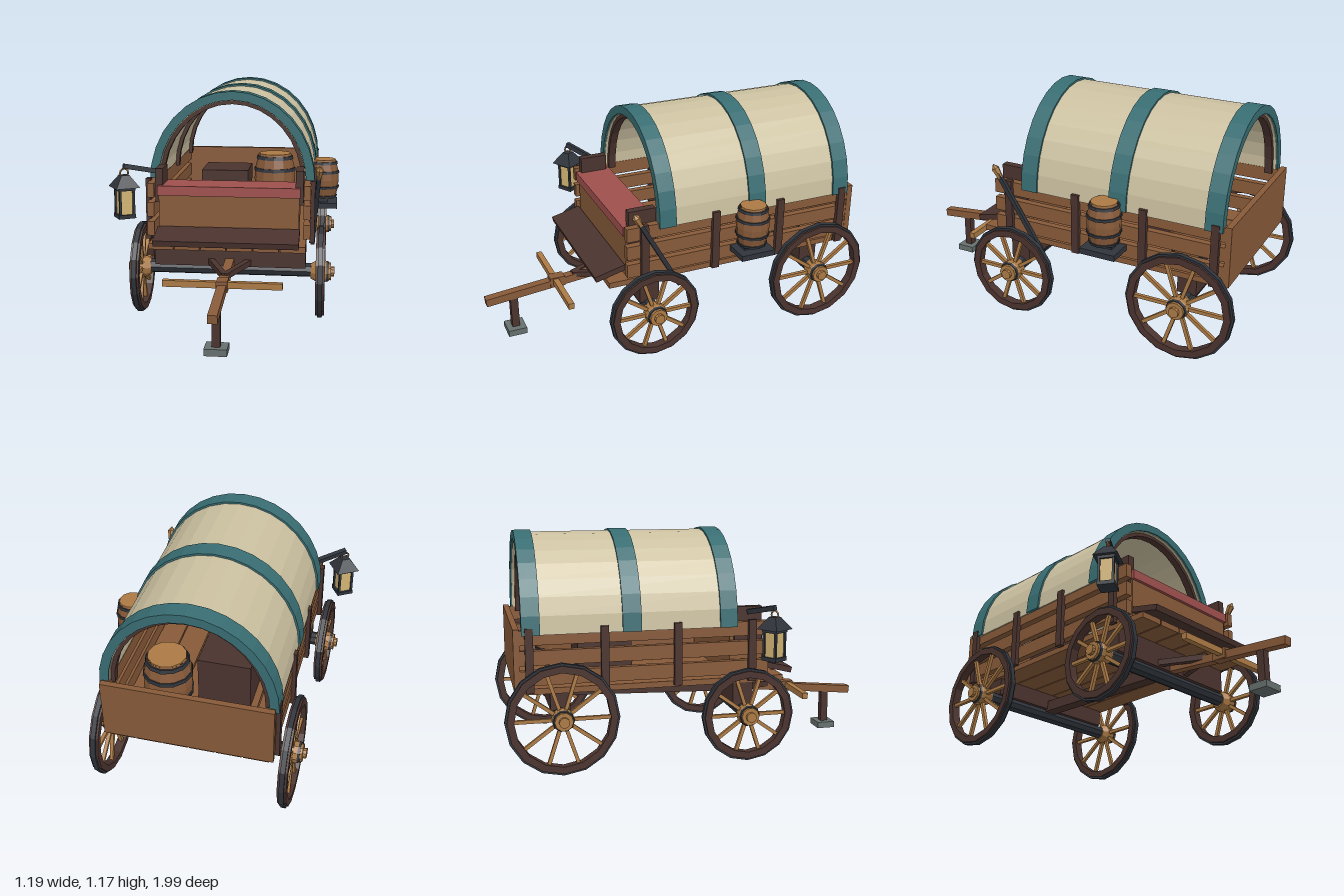
import * as THREE from 'three';

const mat = (name, color) => Object.assign(new THREE.MeshStandardMaterial({ color }), { name });

export function createModel() {
  const M = {
    dark: mat('dark wood', 0x4a332e), wood: mat('brown wood', 0x875a39), tan: mat('pale wood', 0xab7a45),
    red: mat('cushion red', 0x9e504d), teal: mat('trim teal', 0x386d72), cream: mat('canvas', 0xcbc0a0),
    iron: mat('iron', 0x2f343b), stone: mat('stone', 0x66706e), glass: mat('lamp glass', 0xd2b473),
  };
  const root = new THREE.Group();
  root.name = 'coveredWagon';
  const wagon = new THREE.Group();
  wagon.name = 'wagon';
  wagon.position.x = 0.03; // the bed's centre line
  root.add(wagon);

  // Adds a faceted mesh
  const add = (name, geo, m, x = 0, y = 0, z = 0, parent = wagon) => {
    const g = geo.index ? geo.toNonIndexed() : geo;
    g.computeVertexNormals();
    const mesh = new THREE.Mesh(g, m);
    mesh.name = name;
    mesh.position.set(x, y, z);
    parent.add(mesh);
    return mesh;
  };
  // Box given by its extents
  const box = (name, m, x0, x1, y0, y1, z0, z1, parent) =>
    add(name, new THREE.BoxGeometry(x1 - x0, y1 - y0, z1 - z0), m, (x0 + x1) / 2, (y0 + y1) / 2, (z0 + z1) / 2, parent);
  // Square beam from a to b
  const beam = (name, m, a, b, w, h, parent) => {
    const A = new THREE.Vector3(...a), B = new THREE.Vector3(...b);
    const mesh = add(name, new THREE.BoxGeometry(w, h, A.distanceTo(B)), m, 0, 0, 0, parent);
    mesh.position.copy(A).add(B).multiplyScalar(0.5);
    mesh.quaternion.setFromUnitVectors(new THREE.Vector3(0, 0, 1), B.clone().sub(A).normalize());
    return mesh;
  };
  const lathe = (pts, n) => new THREE.LatheGeometry(pts.map(p => new THREE.Vector2(...p)), n);

  // Half-elliptical hoop extruded along z
  const hoop = (name, m, rx, ry, ix, iy, z0, z1) => {
    const pts = [];
    for (let i = 0; i <= 16; i++) pts.push(new THREE.Vector2(rx * Math.cos(i * Math.PI / 16), ry * Math.sin(i * Math.PI / 16)));
    for (let i = 16; i >= 0; i--) pts.push(new THREE.Vector2(ix * Math.cos(i * Math.PI / 16), iy * Math.sin(i * Math.PI / 16)));
    const geo = new THREE.ExtrudeGeometry(new THREE.Shape(pts), { depth: z1 - z0, bevelEnabled: false });
    add(name, geo, m, 0, 0.7, z0);
  };
  hoop('canvasCover', M.cream, 0.425, 0.47, 0.386, 0.431, -0.885, 0.18);
  for (const [a, b] of [[0.1, 0.19], [-0.4, -0.305], [-0.895, -0.805]]) {
    hoop('coverTrim', M.teal, 0.435, 0.48, 0.39, 0.435, a, b);
    hoop('coverRib', M.dark, 0.39, 0.435, 0.365, 0.412, (a + b) / 2 - 0.02, (a + b) / 2 + 0.02);
  }

  // Bed floor, side planks, stakes and tailgate
  for (let i = 0; i < 6; i++) {
    const x = -0.4 + i * 0.1333;
    box('floorPlank', M.wood, x + 0.003, x + 0.13, 0.4, 0.43, -0.92, 0.45);
  }
  for (const s of [-1, 1]) {
    for (const y of [0.45, 0.55, 0.65])
      box('sidePlank', M.wood, s * 0.4 - 0.018, s * 0.4 + 0.018, y, y + 0.073, -0.92, 0.36);
    for (const z of [0.27, -0.12, -0.49, -0.86])
      box('stake', M.dark, s * 0.425 - 0.013, s * 0.425 + 0.013, 0.415, 0.735, z - 0.02, z + 0.02);
    box('seatArm', M.dark, s * 0.36 - 0.02, s * 0.36 + 0.02, 0.62, 0.795, 0.19, 0.335);
  }
  box('tailgate', M.wood, -0.42, 0.42, 0.42, 0.73, -0.935, -0.905);

  // Driver's seat and footboard
  box('seatBox', M.wood, -0.36, 0.36, 0.43, 0.66, 0.17, 0.345);
  box('seatCushion', M.red, -0.365, 0.365, 0.66, 0.71, 0.17, 0.36);
  beam('footboard', M.dark, [0, 0.485, 0.35], [0, 0.445, 0.51], 0.73, 0.03);

  // Running gear
  box('frontBolster', M.dark, -0.395, 0.395, 0.275, 0.4, 0.18, 0.285);
  box('rearBolster', M.dark, -0.38, 0.38, 0.31, 0.4, -0.76, -0.66);
  beam('reachBeam', M.dark, [0, 0.3, 0.22], [0, 0.33, -0.76], 0.07, 0.06);
  for (const [y, z] of [[0.255, 0.235], [0.288, -0.71]])
    add('axle', new THREE.CylinderGeometry(0.037, 0.037, 0.94, 8).rotateZ(Math.PI / 2), M.iron, 0, y, z);

  // Wheels
  const wheel = (name, r, s, y, z) => {
    const g = new THREE.Group();
    g.name = name;
    g.position.set(s * 0.472, y, z);
    g.rotation.z = -s * Math.PI / 2; // the wheel's own +y points outward
    wagon.add(g);
    const ring = (a, b, w) => lathe([[a, -w], [b, -w], [b, w], [a, w], [a, -w]], 16);
    add('rim', ring(r - 0.046, r - 0.011, 0.023), M.dark, 0, 0, 0, g);
    add('tyre', ring(r - 0.014, r, 0.012), M.iron, 0, 0, 0, g);
    for (let i = 0; i < 10; i++) {
      const a = (i + 0.5) * Math.PI / 5, c = Math.cos(a), d = Math.sin(a);
      beam('spoke', M.tan, [c * 0.03, 0, d * 0.03], [c * (r - 0.04), 0, d * (r - 0.04)], 0.018, 0.018, g);
    }
    add('hub', lathe([[0, -0.05], [0.04, -0.05], [0.056, -0.02], [0.056, 0.025], [0.046, 0.045], [0.046, 0.055],
      [0.026, 0.055], [0.026, 0.072], [0, 0.072]], 10), M.tan, 0, 0, 0, g);
    add('hubBand', new THREE.CylinderGeometry(0.051, 0.055, 0.012, 10), M.iron, 0, 0.037, 0, g);
  };
  for (const s of [-1, 1]) {
    wheel('frontWheel', 0.242, s, 0.25, 0.235);
    wheel('rearWheel', 0.282, s, 0.287, -0.71);
    beam('tongueBrace', M.dark, [s * 0.11, 0.3, 0.25], [0, 0.29, 0.52], 0.03, 0.03);
  }

  // Tongue, crossbar and prop
  beam('tongue', M.wood, [0, 0.3, 0.25], [0, 0.228, 0.998], 0.046, 0.042);
  box('crossbar', M.tan, -0.295, 0.295, 0.262, 0.294, 0.605, 0.635);
  box('crossbarCollar', M.wood, -0.028, 0.028, 0.245, 0.3, 0.57, 0.65);
  box('propPost', M.dark, -0.02, 0.02, 0.045, 0.24, 0.83, 0.87);
  box('propFoot', M.stone, -0.055, 0.055, 0.016, 0.05, 0.8, 0.9);

  // Barrels with iron hoops
  const barrel = (name, x, y, z, r, h) => {
    const g = new THREE.Group();
    g.name = name;
    g.position.set(x, y, z);
    wagon.add(g);
    const rad = t => r * (1 - 0.2 * (2 * t - 1) ** 2); // bulging profile
    const ts = [0, 0.25, 0.5, 0.75, 1];
    add('staves', lathe([[0, 0], ...ts.map(t => [rad(t), t * h])], 12), M.wood, 0, 0, 0, g);
    add('lid', new THREE.CylinderGeometry(r * 0.78, r * 0.78, 0.008, 12), M.tan, 0, h + 0.002, 0, g);
    for (const t of [0.05, 0.3, 0.7, 0.94])
      add('hoop', new THREE.CylinderGeometry(rad(t + 0.03) + 0.005, rad(t - 0.03) + 0.005, h * 0.065, 12), M.iron, 0, t * h, 0, g);
  };
  barrel('sideBarrel', 0.475, 0.538, -0.305, 0.086, 0.216);
  barrel('cargoBarrel', 0.175, 0.43, -0.655, 0.125, 0.3);
  box('barrelShelf', M.iron, 0.41, 0.555, 0.49, 0.52, -0.4, -0.21);
  box('barrelBracket', M.iron, 0.41, 0.5, 0.52, 0.54, -0.36, -0.25);
  box('cargoChest', M.dark, -0.23, 0.04, 0.43, 0.68, -0.6, -0.32);

  // Brake lever with a pointed grip
  const low = new THREE.Vector3(0.425, 0.36, 0.08), high = new THREE.Vector3(0.457, 0.78, 0.315);
  beam('brakeLever', M.iron, low.toArray(), high.toArray(), 0.022, 0.022);
  const grip = add('leverGrip', lathe([[0, -0.03], [0.014, -0.03], [0.021, 0.025], [0, 0.05]], 6), M.tan, high.x, high.y, high.z);
  grip.quaternion.setFromUnitVectors(new THREE.Vector3(0, 1, 0), high.clone().sub(low).normalize());

  // Lantern on its bracket
  beam('lanternBracket', M.iron, [-0.39, 0.77, 0.26], [-0.54, 0.808, 0.35], 0.025, 0.025);
  const lamp = new THREE.Group();
  lamp.name = 'lantern';
  lamp.position.set(-0.537, 0, 0.35);
  lamp.rotation.y = 0.55;
  wagon.add(lamp);
  box('lanternBase', M.iron, -0.045, 0.045, 0.54, 0.56, -0.045, 0.045, lamp);
  box('lanternGlass', M.glass, -0.034, 0.034, 0.56, 0.695, -0.034, 0.034, lamp);
  for (const x of [-0.036, 0.036]) for (const z of [-0.036, 0.036])
    box('lanternPost', M.iron, x - 0.006, x + 0.006, 0.56, 0.695, z - 0.006, z + 0.006, lamp);
  box('lanternCollar', M.iron, -0.045, 0.045, 0.685, 0.7, -0.045, 0.045, lamp);
  add('lanternRoof', new THREE.CylinderGeometry(0.03, 0.09, 0.062, 4).rotateY(Math.PI / 4), M.iron, 0, 0.731, 0, lamp);
  add('lanternRing', new THREE.TorusGeometry(0.022, 0.005, 5, 12), M.tan, 0, 0.772, 0, lamp);
  return root;
}
